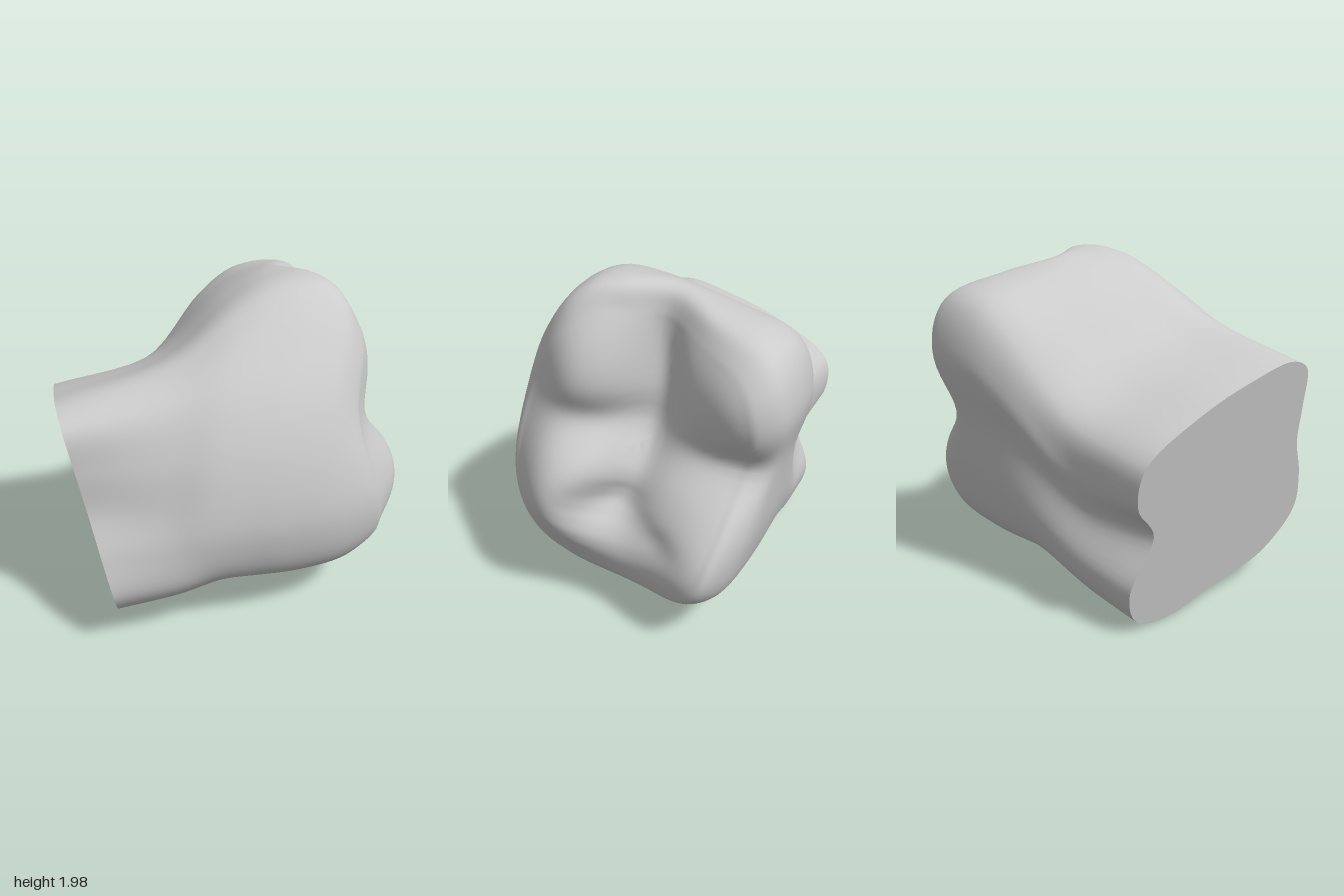
import * as THREE from 'three';
import { mergeVertices } from 'three/addons/utils/BufferGeometryUtils.js';

const AROUND = 112, ALONG = 95;
const material = new THREE.MeshStandardMaterial({ color: 0xcccccc });

// Outlines as [z, y], from the top towards +z and round
const crownOutline = [
  [0, 1.96], [0.3, 1.95], [0.62, 1.63], [0.78, 1.36], [0.87, 1.05], [0.88, 0.72], [0.76, 0.42], [0.42, 0.2],
  [0.03, 0.12], [-0.32, 0.14], [-0.6, 0.32], [-0.72, 0.62], [-0.79, 1.05], [-0.88, 1.43], [-0.78, 1.74], [-0.4, 1.87],
];
const neckOutline = [
  [0.1, 1.53], [0.4, 1.6], [0.62, 1.45], [0.73, 1.18], [0.78, 0.92], [0.83, 0.68], [0.8, 0.42], [0.52, 0.2],
  [0.12, 0.12], [-0.25, 0.08], [-0.52, 0.14], [-0.63, 0.36], [-0.6, 0.64], [-0.65, 0.88], [-0.63, 1.15], [-0.28, 1.38],
];
const rootOutline = [
  [0.12, 1.38], [0.42, 1.43], [0.58, 1.36], [0.62, 1.14], [0.65, 0.9], [0.76, 0.65], [0.79, 0.4], [0.55, 0.17],
  [0.15, 0.085], [-0.25, 0.0], [-0.5, 0.07], [-0.59, 0.28], [-0.48, 0.6], [-0.64, 0.82], [-0.63, 1.04], [-0.28, 1.25],
];

// Cusps (+) and grooves (-) of the chewing surface: z, y, height, spread in z, spread in y
const bumps = [
  [0.3, 1.58, 0.3, 0.24, 0.34], [-0.66, 1.52, 0.3, 0.3, 0.3],
  [0.38, 0.77, 0.4, 0.27, 0.31], [-0.52, 0.54, 0.4, 0.33, 0.33],
  [0.12, 0.74, -0.15, 0.13, 0.1], [-0.1, 1.5, -0.13, 0.1, 0.28], [0.0, 1.05, -0.1, 0.1, 0.2],
  [0.22, 1.2, -0.1, 0.17, 0.1], [-0.65, 1.06, -0.11, 0.25, 0.1],
  [-0.22, 0.62, -0.03, 0.12, 0.06], [0.0, 0.38, 0.05, 0.2, 0.12],
];

function chewingHeight(z, y) {
  let x = 0.42 + 0.14 * (1.75 - y);
  for (const [cz, cy, h, sz, sy] of bumps) {
    x += h * Math.exp(-((z - cz) ** 2) / (2 * sz * sz) - ((y - cy) ** 2) / (2 * sy * sy));
  }
  return x;
}

const loop = (pts) => new THREE.CatmullRomCurve3(pts.map(([z, y]) => new THREE.Vector3(0, y, z)), true);

// One strip running from the cut edge, over the rim, to the middle of the chewing surface
function column(root, neck, crown) {
  const front = Math.max(0, crown.z - 0.4) * 0.6; // the front bulges nearer the root
  const centre = new THREE.Vector3(0, 1.05, 0);
  const side = (x, f, lift) => {
    const p = neck.clone().lerp(crown, f);
    p.y += lift;
    return p.setX(x - front);
  };
  const top = (s) => {
    const p = centre.clone().lerp(crown, s);
    return p.setX(chewingHeight(p.z, p.y));
  };
  const rim = top(0.85);
  const widest = crown.clone().setX(Math.min(0.45, rim.x - 0.1) - front);
  const shoulder = centre.clone().lerp(crown, 0.96).setX(widest.x + (rim.x - widest.x) * (0.68 - front * 0.5));
  const waist = Math.max(0, 0.6 - crown.y) * 0.1;
  const pts = [
    root, neck.clone().setX(-0.38 - front * 0.4), side(0, 0.68, waist), side(0.22, 0.94, waist * 0.3),
    widest, shoulder, rim,
  ];
  for (let k = 11; k >= 0; k--) pts.push(top((0.85 * k) / 12));
  return new THREE.CatmullRomCurve3(pts).getPoints(ALONG);
}

function build(name, positions, index) {
  let geometry = new THREE.BufferGeometry();
  geometry.setAttribute('position', new THREE.Float32BufferAttribute(positions, 3));
  geometry.setIndex(index);
  geometry = mergeVertices(geometry, 1e-5);
  geometry.computeVertexNormals();
  const mesh = new THREE.Mesh(geometry, material);
  mesh.name = name;
  return mesh;
}

export function createModel() {
  const group = new THREE.Group();
  group.name = 'molarTooth';
  const [rootLoop, neckLoop, crownLoop] = [rootOutline, neckOutline, crownOutline].map(loop);
  const cutX = (y) => -0.72 - 0.2 * y;

  // Crown and root surface
  const positions = [], index = [], rootEdge = [];
  const row = ALONG + 1;
  for (let i = 0; i < AROUND; i++) {
    const t = i / AROUND;
    const root = rootLoop.getPoint(t);
    root.x = cutX(root.y);
    rootEdge.push(root);
    for (const p of column(root, neckLoop.getPoint(t), crownLoop.getPoint(t))) positions.push(p.x, p.y, p.z);
    const next = (i + 1) % AROUND;
    for (let j = 0; j < ALONG; j++) {
      const a = i * row + j, b = next * row + j;
      index.push(a, b, a + 1);
      if (j < ALONG - 1) index.push(b, b + 1, a + 1);
    }
  }
  group.add(build('crownAndRoot', positions, index));

  // Flat cut through the root
  const capPositions = [cutX(0.7), 0.7, 0.05], capIndex = [];
  rootEdge.forEach((p, i) => {
    capPositions.push(p.x, p.y, p.z);
    capIndex.push(0, 1 + ((i + 1) % AROUND), 1 + i);
  });
  group.add(build('rootCut', capPositions, capIndex));
  return group;
}
